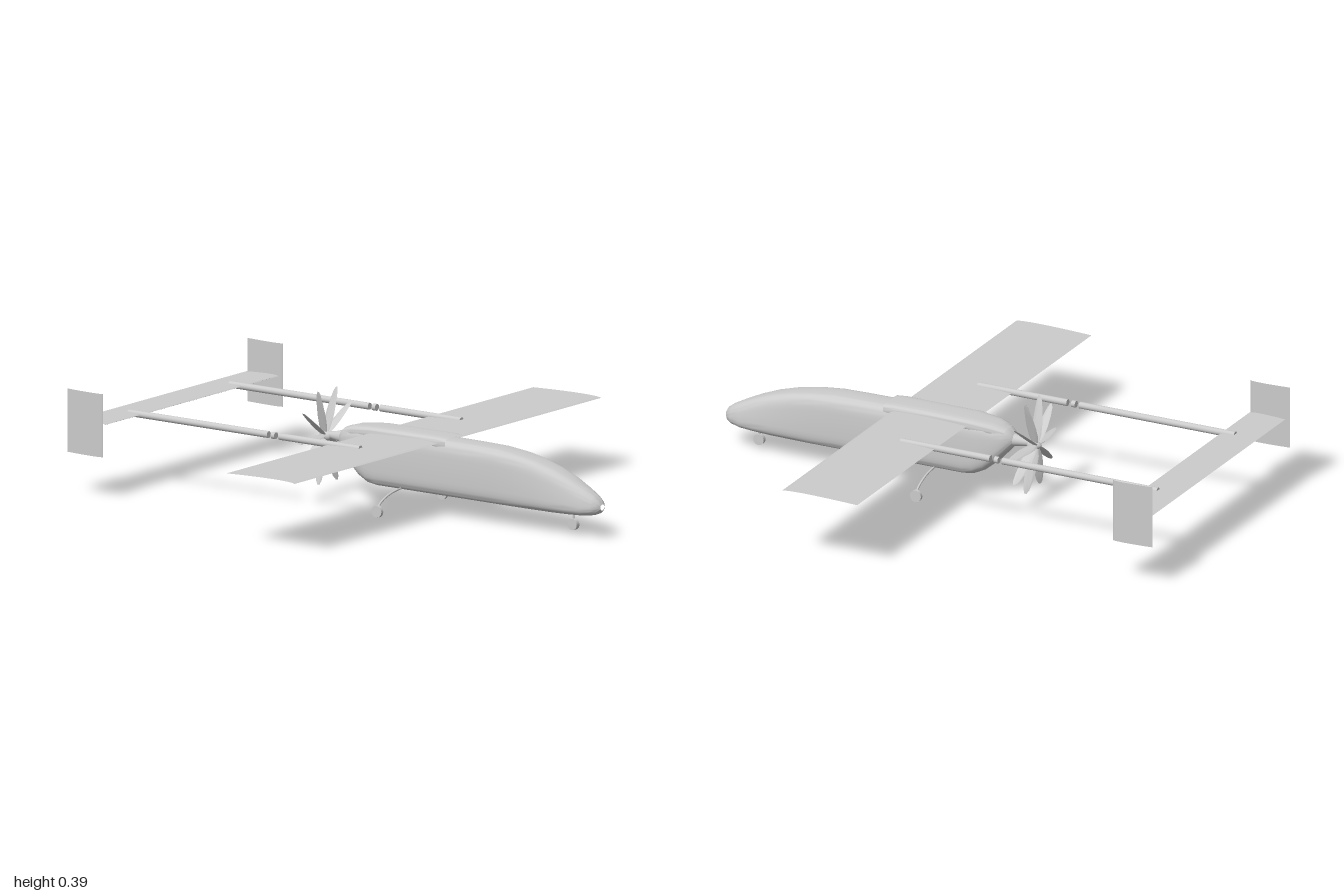
import * as THREE from 'three';
import { toCreasedNormals } from 'three/addons/utils/BufferGeometryUtils.js';

const grey = new THREE.MeshStandardMaterial({ color: 0xcccccc });

// Closed skin over rings of equal point count, capped at both ends, facing outward.
function loft(rings, crease = 0.6) {
  const n = rings[0].length, pos = [], idx = [];
  rings.forEach(r => r.forEach(p => pos.push(p.x, p.y, p.z)));
  for (let i = 0; i < rings.length - 1; i++)
    for (let j = 0; j < n; j++) {
      const k = (j + 1) % n, a = i * n, b = a + n;
      idx.push(a + j, b + j, b + k, a + j, b + k, a + k);
    }
  [0, rings.length - 1].forEach((r, end) => {
    const c = pos.length / 3, m = new THREE.Vector3();
    rings[r].forEach(p => m.addScaledVector(p, 1 / n));
    pos.push(m.x, m.y, m.z);
    for (let j = 0; j < n; j++) {
      const a = r * n + j, b = r * n + (j + 1) % n;
      if (end) idx.push(c, a, b); else idx.push(c, b, a);
    }
  });
  // A negative volume means the rings ran the other way: turn every face over
  const at = i => new THREE.Vector3().fromArray(pos, i * 3);
  let volume = 0;
  for (let i = 0; i < idx.length; i += 3) volume += at(idx[i]).dot(at(idx[i + 1]).cross(at(idx[i + 2])));
  if (volume < 0) idx.reverse();
  const g = new THREE.BufferGeometry();
  g.setAttribute('position', new THREE.Float32BufferAttribute(pos, 3));
  g.setIndex(idx);
  return toCreasedNormals(g, crease);
}

// Rounded-box body; stations are [z, bottom, top, half width, squareness, width at top]
function body(stations, n = 40) {
  return loft(stations.map(([z, y0, y1, w, e, top]) => Array.from({ length: n }, (_, j) => {
    const a = j / n * Math.PI * 2, c = Math.cos(a), s = Math.sin(a);
    const u = Math.sign(c) * Math.abs(c) ** (2 / e), v = Math.sign(s) * Math.abs(s) ** (2 / e);
    const narrow = 1 + (top - 1) * (v + 1) / 2;
    return new THREE.Vector3(u * w * narrow, (y0 + y1) / 2 + v * (y1 - y0) / 2, z);
  })));
}

// Aerofoil outline as [chord fraction from nose, height fraction]; lower scales the underside
function foil(lower, n = 14) {
  const h = t => 2.6 * (0.2969 * Math.sqrt(t) - 0.126 * t - 0.3516 * t * t + 0.2843 * t ** 3 - 0.1036 * t ** 4) * 3.85;
  const pts = [];
  for (let i = 0; i < n; i++) { const t = (1 - Math.cos(Math.PI * i / n)) / 2; pts.push([t, h(t) / 3]); }
  for (let i = n; i > 0; i--) { const t = (1 - Math.cos(Math.PI * i / n)) / 2; pts.push([t, -lower * h(t) / 3]); }
  return pts;
}

export function createModel() {
  const model = new THREE.Group();
  const add = (name, geometry, x = 0, y = 0, z = 0) => {
    const m = new THREE.Mesh(geometry, grey);
    m.name = name;
    m.position.set(x, y, z);
    model.add(m);
    return m;
  };
  // Straight round bar along z
  const bar = (name, x, y, z0, z1, r0, r1 = r0) =>
    add(name, new THREE.CylinderGeometry(r0, r1, z0 - z1, 20).rotateX(Math.PI / 2), x, y, (z0 + z1) / 2);

  // Fuselage with a drooped nose and an upswept tail
  add('fuselage', body([
    [1.0, 0.104, 0.126, 0.012, 2, 1],
    [0.99, 0.092, 0.142, 0.029, 2.2, 0.85],
    [0.97, 0.084, 0.157, 0.044, 2.5, 0.75],
    [0.93, 0.079, 0.178, 0.058, 3, 0.7],
    [0.87, 0.077, 0.207, 0.066, 3.4, 0.74],
    [0.8, 0.076, 0.234, 0.07, 3.8, 0.8],
    [0.72, 0.076, 0.256, 0.071, 4.2, 0.87],
    [0.64, 0.076, 0.27, 0.071, 4.5, 0.93],
    [0.55, 0.076, 0.279, 0.071, 4.5, 0.97],
    [0.45, 0.076, 0.281, 0.071, 4.5, 0.98],
    [0.2, 0.076, 0.283, 0.071, 4.5, 0.98],
    [0.02, 0.076, 0.285, 0.071, 4.5, 0.97],
    [-0.02, 0.081, 0.285, 0.07, 4.2, 0.97],
    [-0.06, 0.1, 0.284, 0.066, 3.8, 0.97],
    [-0.1, 0.133, 0.28, 0.059, 3.3, 0.97],
    [-0.135, 0.17, 0.271, 0.049, 2.8, 1],
    [-0.155, 0.192, 0.257, 0.038, 2.4, 1],
    [-0.165, 0.203, 0.246, 0.026, 2, 1],
  ]));
  // Raised cover over the wing joint
  add('wingFairing', body([
    [0.338, 0.25, 0.29, 0.062, 4, 0.98],
    [0.3, 0.25, 0.293, 0.066, 4, 0.95],
    [0.15, 0.25, 0.293, 0.064, 4, 0.92],
    [0, 0.25, 0.291, 0.066, 4, 0.95],
    [-0.09, 0.24, 0.284, 0.056, 3, 0.95],
    [-0.14, 0.235, 0.268, 0.04, 2.5, 1],
  ]));

  // Wing and tailplane
  const plane = (name, half, zNose, chord, y, up, lower) => add(name, loft([-half, half].map(x =>
    foil(lower).map(([t, h]) => new THREE.Vector3(x, y + h * up, zNose - t * chord)))));
  plane('wing', 0.92, 0.305, 0.305, 0.27, 0.017, 0.7);
  plane('tailplane', 0.52, -0.845, 0.145, 0.27, 0.013, 0.6);

  for (const side of [-1, 1]) {
    const label = side > 0 ? 'left' : 'right';
    // Upright fin at the tailplane tip
    add(label + 'Fin', loft([0.155, 0.388].map(y => foil(1).map(([t, h]) =>
      new THREE.Vector3(side * 0.54 + h * 0.02, y, -0.84 - t * 0.16)))));
    // Tail boom in two lengths with a collar between them
    bar(label + 'FrontBoom', side * 0.303, 0.271, 0.14, -0.222, 0.0125);
    bar(label + 'BoomCollar', side * 0.303, 0.271, -0.24, -0.256, 0.0125);
    bar(label + 'RearBoom', side * 0.303, 0.271, -0.272, -0.9, 0.0125);
    // Main wheel
    add(label + 'Wheel', new THREE.CylinderGeometry(0.022, 0.022, 0.012, 24).rotateZ(Math.PI / 2), side * 0.195, 0.022, 0.135);
  }

  // Bowed main gear leg running from wheel to wheel
  const bow = [[-0.193, 0.022], [-0.188, 0.04], [-0.165, 0.057], [-0.11, 0.076], [0, 0.085],
    [0.11, 0.076], [0.165, 0.057], [0.188, 0.04], [0.193, 0.022]];
  add('mainGearLeg', new THREE.TubeGeometry(new THREE.CatmullRomCurve3(
    bow.map(([x, y]) => new THREE.Vector3(x, y, 0.135))), 48, 0.004, 8));

  // Nose gear
  add('noseWheel', new THREE.CylinderGeometry(0.021, 0.021, 0.016, 24).rotateZ(Math.PI / 2), 0, 0.037, 0.87);
  add('noseStrut', new THREE.CylinderGeometry(0.004, 0.004, 0.05, 10), 0, 0.065, 0.87);

  // Pusher shaft, hub and spinner
  bar('tailCone', 0, 0.225, -0.15, -0.225, 0.026, 0.012);
  const spinner = [[0.012, 0], [0.018, 0.01], [0.018, 0.03], [0.013, 0.042], [0.006, 0.05], [0, 0.052]];
  add('spinner', new THREE.LatheGeometry(spinner.map(p => new THREE.Vector2(...p)), 24).rotateX(-Math.PI / 2), 0, 0.22, -0.218);

  // Ten narrow blades, chord nearly in line with the shaft; [radius, chord, z, thickness]
  const blade = loft([[0.008, 0.026, -0.004, 0.008], [0.04, 0.04, -0.003, 0.007], [0.08, 0.043, 0, 0.006],
    [0.13, 0.034, 0.003, 0.005], [0.165, 0.022, 0.006, 0.004], [0.18, 0.008, 0.008, 0.002]].map(([r, chord, z, thick]) =>
    Array.from({ length: 14 }, (_, j) => {
      const a = j / 14 * Math.PI * 2, twist = 0.12 + r * 0.5;
      const u = Math.cos(a) * chord / 2, v = Math.sin(a) * thick / 2;
      return new THREE.Vector3(r, v * Math.cos(twist) + u * Math.sin(twist), z + u * Math.cos(twist) - v * Math.sin(twist));
    })));
  for (let i = 0; i < 10; i++) add('propellerBlade', blade, 0, 0.22, -0.243).rotation.z = i * Math.PI / 5;

  return model;
}
